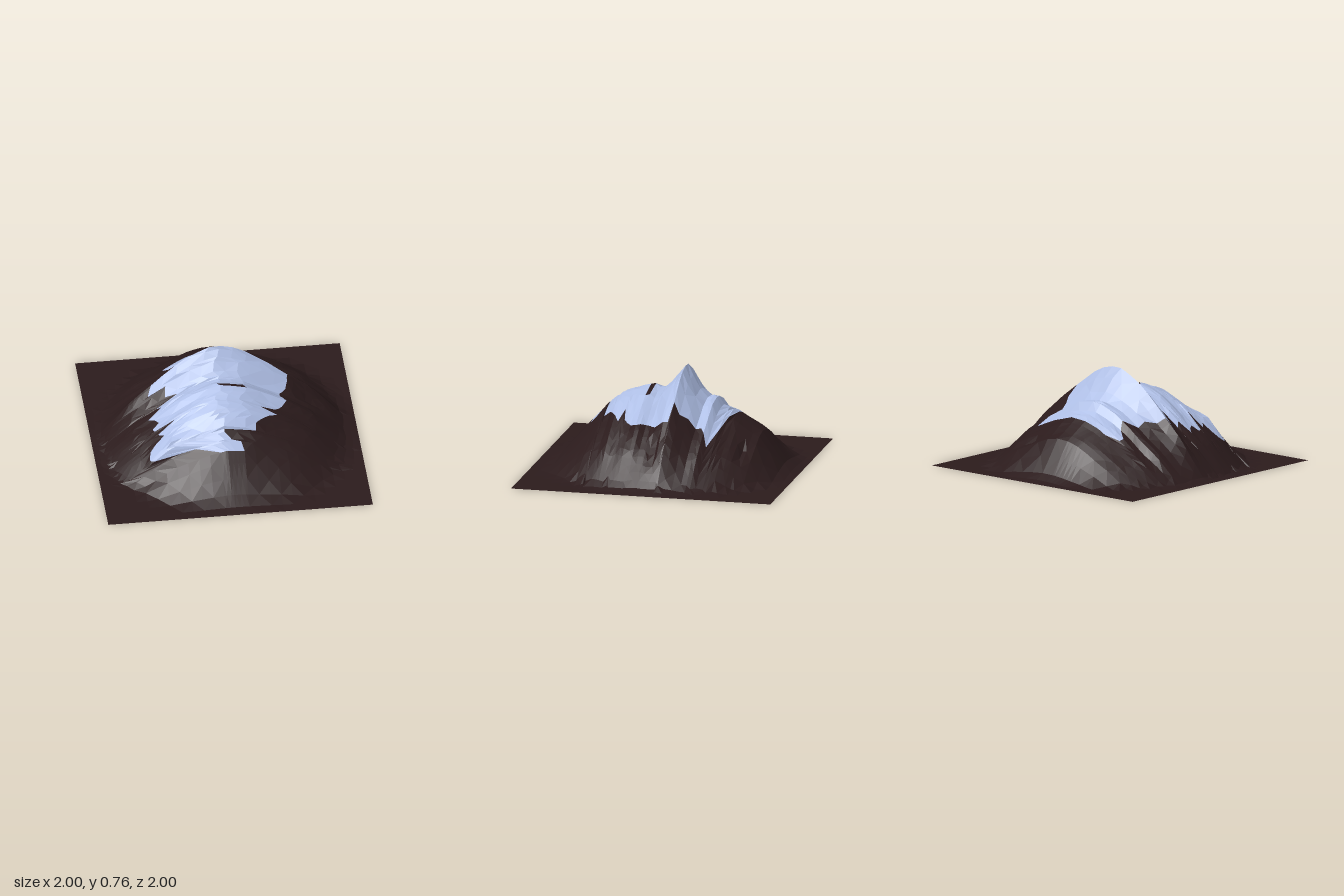
import * as THREE from 'three';

// Height of the crest from back to front, and the side-to-side profile
const CREST = [[-1, 0], [-0.94, 0.02], [-0.87, 0.06], [-0.7, 0.3], [-0.5, 0.42], [-0.38, 0.47], [-0.33, 0.55],
  [-0.28, 0.52], [-0.2, 0.6], [-0.1, 0.77], [0, 0.64], [0.07, 0.575], [0.16, 0.605], [0.28, 0.565], [0.38, 0.535],
  [0.5, 0.43], [0.62, 0.3], [0.83, 0.06], [0.92, 0.012], [1, 0]];
const ACROSS = [[-1, 0], [-0.93, 0.02], [-0.7, 0.28], [-0.55, 0.41], [-0.4, 0.56], [-0.26, 0.67], [-0.07, 0.76],
  [0.12, 0.72], [0.3, 0.6], [0.5, 0.46], [0.65, 0.33], [0.9, 0.04], [1, 0]];

// Ragged snow line: z, right edge, left edge
const SNOW = [[-0.5, -0.29, -0.09], [-0.46, -0.4, 0.08], [-0.43, -0.41, 0.28], [-0.38, -0.34, 0.49],
  [-0.34, -0.32, 0.4], [-0.31, -0.37, 0.35], [-0.27, -0.42, 0.36], [-0.21, -0.43, 0.35], [-0.15, -0.5, 0.38],
  [-0.1, -0.54, 0.34], [-0.085, -0.55, 0.49], [-0.05, -0.57, 0.48], [-0.03, -0.44, 0.48], [0.02, -0.45, 0.46],
  [0.05, -0.36, 0.43], [0.065, -0.52, 0.41], [0.1, -0.49, 0.41], [0.14, -0.59, 0.43], [0.17, -0.55, 0.45],
  [0.22, -0.52, 0.41], [0.25, -0.57, 0.38], [0.28, -0.56, 0.35], [0.3, -0.41, 0.24], [0.33, -0.54, 0.36],
  [0.37, -0.5, 0.29], [0.4, -0.57, 0.24], [0.43, -0.61, 0.19], [0.48, -0.62, 0.18], [0.495, -0.61, -0.06],
  [0.51, -0.59, -0.06], [0.55, -0.28, -0.01], [0.56, -0.25, 0.06], [0.61, -0.1, 0.08]];

// Rock-only rows behind and in front of the snow
const BACK = [-1, -0.94, -0.87, -0.78, -0.7, -0.65, -0.62, -0.58, -0.54];
const FRONT = [0.67, 0.75, 0.83, 0.92, 1];

// Local swellings and clefts: x, z, half-length, half-width, rise
const BUMPS = [
  [-0.46, 0.48, 0.2, 0.18, 0.075], // shoulder at the front right
  [0.64, 0, 0.14, 0.06, -0.07],
  [0.34, -0.62, 0.14, 0.05, -0.05],
  [-0.6, -0.4, 0.14, 0.05, -0.03],
  [-0.6, 0.61, 0.16, 0.06, -0.025],
];

function lookup(table, t) {
  if (t <= table[0][0]) return table[0][1];
  for (let i = 1; i < table.length; i++) {
    const [a, ya] = table[i - 1], [b, yb] = table[i];
    if (t <= b) return ya + (yb - ya) * (t - a) / (b - a);
  }
  return 0;
}

function height(x, z) {
  const width = Math.sqrt(Math.max(1 - z * z, 0.0001));
  let y = lookup(CREST, z) * lookup(ACROSS, x / width) / 0.76;
  // Shallow gullies, fading out at the crest and the foot
  const flank = Math.min(1, Math.abs(x + 0.07) * 3) * Math.min(1, y * y * 7);
  y += flank * (0.011 * Math.sin(34 * z + 2.5 * Math.sin(4 * x)) + 0.004 * Math.sin(61 * z + 9 * x));
  for (const [bx, bz, rx, rz, rise] of BUMPS) {
    y += rise * Math.max(0, 1 - Math.abs(z - bz) / rz) * Math.max(0, 1 - Math.abs(x - bx) / rx);
  }
  return Math.max(0, y);
}

export function createModel() {
  const model = new THREE.Group();
  model.name = 'snowyMountain';

  const edge = (z, row) => [z, row[1], row[2]];
  const rows = [...BACK.map(z => edge(z, SNOW[0])), ...SNOW, ...FRONT.map(z => edge(z, SNOW[SNOW.length - 1]))];
  const SIDE = 11, MIDDLE = 10, COLS = 2 * SIDE + MIDDLE;

  // Columns follow the snow line so that it falls on mesh edges
  const points = [];
  for (const [z, from, to] of rows) {
    for (let j = 0; j <= COLS; j++) {
      let x;
      if (j < SIDE) x = -1 + (from + 1) * j / SIDE;
      else if (j <= SIDE + MIDDLE) x = from + (to - from) * (j - SIDE) / MIDDLE;
      else x = to + (1 - to) * (j - SIDE - MIDDLE) / SIDE;
      points.push(x, height(x, z), z);
    }
  }

  const rock = [], snow = [];
  const firstSnow = BACK.length, lastSnow = BACK.length + SNOW.length - 1;
  for (let i = 0; i < rows.length - 1; i++) {
    for (let j = 0; j < COLS; j++) {
      const a = i * (COLS + 1) + j, b = a + 1, c = a + COLS + 1, d = c + 1;
      const x = (points[3 * a] + points[3 * d]) / 2, z = (rows[i][0] + rows[i + 1][0]) / 2;
      const bare = Math.hypot((x - 0.03) / 0.08, (z - 0.17) / 0.025) < 1; // bare patch
      const snowy = i >= firstSnow && i < lastSnow && j >= SIDE && j < SIDE + MIDDLE && !bare;
      const faces = snowy ? snow : rock;
      if ((i + j) % 2) faces.push(a, c, b, b, c, d);
      else faces.push(a, c, d, a, d, b);
    }
  }

  const position = new THREE.Float32BufferAttribute(points, 3);
  const addSurface = (name, index, color) => {
    const geometry = new THREE.BufferGeometry();
    geometry.setAttribute('position', position);
    geometry.setIndex(index);
    geometry.computeVertexNormals();
    const material = new THREE.MeshStandardMaterial({ color, flatShading: true, side: THREE.DoubleSide });
    const mesh = new THREE.Mesh(geometry, material);
    mesh.name = name;
    model.add(mesh);
  };
  addSurface('rockSlopes', rock, 0x2b1b1c);
  addSurface('snowCap', snow, 0xafbfe6);
  return model;
}
